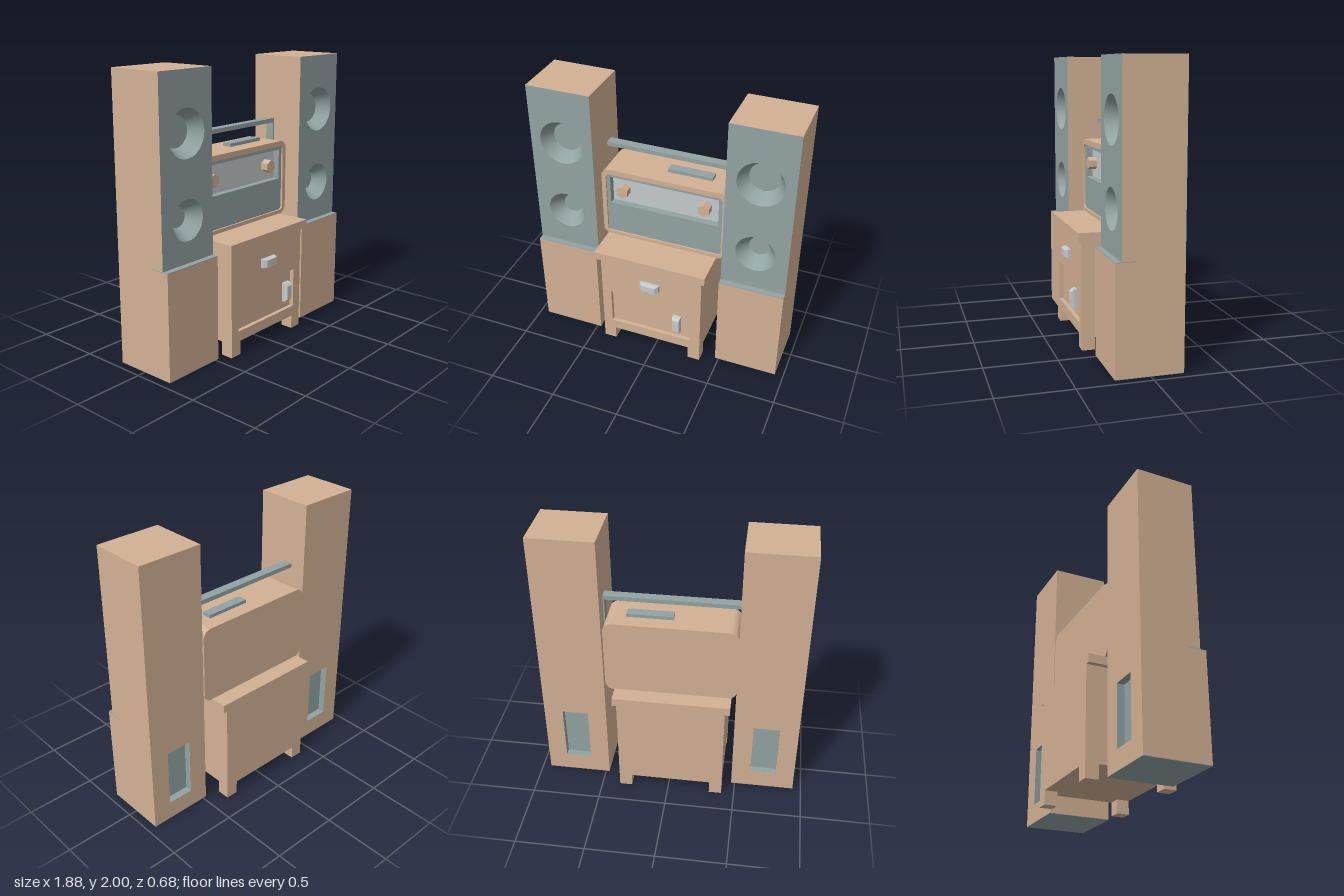
import * as THREE from 'three';
import { toCreasedNormals } from 'three/addons/utils/BufferGeometryUtils.js';

const wood = new THREE.MeshStandardMaterial({ color: 0xd3b194 });
const slate = new THREE.MeshStandardMaterial({ color: 0x92a3a3 });
const light = new THREE.MeshStandardMaterial({ color: 0xc4cbcd });
const slateInside = new THREE.MeshStandardMaterial({ color: 0x92a3a3, side: THREE.BackSide });

function add(parent, name, geometry, material) {
  const mesh = new THREE.Mesh(geometry, material);
  mesh.name = name;
  parent.add(mesh);
  return mesh;
}

// Box given by its limits on each axis
function box(parent, name, material, x0, x1, y0, y1, z0, z1) {
  const mesh = add(parent, name, new THREE.BoxGeometry(x1 - x0, y1 - y0, z1 - z0), material);
  mesh.position.set((x0 + x1) / 2, (y0 + y1) / 2, (z0 + z1) / 2);
  return mesh;
}

// Rectangle outline with optional rounded corners
function rect(x0, x1, y0, y1, r = 0, Type = THREE.Shape) {
  const s = new Type();
  if (!r) {
    s.moveTo(x0, y0).lineTo(x1, y0).lineTo(x1, y1).lineTo(x0, y1).closePath();
    return s;
  }
  s.absarc(x1 - r, y0 + r, r, -Math.PI / 2, 0);
  s.absarc(x1 - r, y1 - r, r, 0, Math.PI / 2);
  s.absarc(x0 + r, y1 - r, r, Math.PI / 2, Math.PI);
  s.absarc(x0 + r, y0 + r, r, Math.PI, Math.PI * 1.5);
  s.closePath();
  return s;
}

// Slab between two depths, cut through by the given holes
function slab(parent, name, material, shape, holes, z0, z1) {
  shape.holes.push(...holes);
  const g = new THREE.ExtrudeGeometry(shape, { depth: z1 - z0, bevelEnabled: false, curveSegments: 16 });
  const mesh = add(parent, name, toCreasedNormals(g, 0.5), material);
  mesh.position.z = z0;
  return mesh;
}

function createSpeaker() {
  const g = new THREE.Group();
  const w = 0.233;
  const cones = [[1.6, 0.162, 0.105], [1.04, 0.14, 0.07]];
  const depth = 0.1, front = 0.195;

  // Front baffle with conical drivers
  const holes = cones.map(([y, r]) => new THREE.Path().absarc(0, y, r, 0, Math.PI * 2, true));
  slab(g, 'baffle', [slate, wood], rect(-w, w, 0.75, 2), holes, front - depth, front);
  for (const [y, r, inner] of cones) {
    const cone = add(g, 'driverCone', new THREE.CylinderGeometry(r, inner, depth, 48, 1, true), slateInside);
    cone.rotation.x = Math.PI / 2;
    cone.position.set(0, y, front - depth / 2);
    const disc = add(g, 'driverDisc', new THREE.CircleGeometry(inner, 48), slate);
    disc.position.set(0, y, front - depth + 0.002);
  }

  // Cabinet, wider foot section and its ledge
  box(g, 'cabinetCore', wood, -w, w, 0.004, 2, -0.17, front - depth);
  box(g, 'lowerFront', wood, -w, w, 0.004, 0.746, front - depth, 0.238);
  box(g, 'ledge', slate, -w, w, 0.746, 0.75, front - depth, 0.238);
  box(g, 'basePlate', slate, -w, w, 0, 0.004, -0.222, 0.238);

  // Back with recessed port
  const port = [-0.095, 0.095, 0.14, 0.57];
  slab(g, 'cabinetBack', wood, rect(-w, w, 0.004, 2), [rect(...port, 0, THREE.Path)], -0.222, -0.17);
  box(g, 'backPort', slateInside, -0.094, 0.094, 0.141, 0.569, -0.222, -0.171);
  return g;
}

// Pull handle whose front edge tapers in
function pullHandle(parent, name, x, y, turned) {
  const geo = new THREE.BoxGeometry(0.145, 0.062, 0.045, 1, 1, 2);
  const p = geo.attributes.position;
  for (let i = 0; i < p.count; i++) {
    if (p.getZ(i) > 0.01) p.setXY(i, p.getX(i) * 0.7, p.getY(i) * 0.82);
  }
  const flat = geo.toNonIndexed();
  flat.computeVertexNormals();
  const mesh = add(parent, name, flat, light);
  mesh.position.set(x, y, 0.322);
  if (turned) mesh.rotation.z = Math.PI / 2;
}

function createCabinet() {
  const g = new THREE.Group();
  g.name = 'cabinet';
  const x0 = -0.405, x1 = 0.367, zb = -0.34, zf = 0.302, leg = 0.092;
  box(g, 'tabletop', wood, -0.44, 0.398, 0.768, 0.83, zb, 0.332);
  box(g, 'body', wood, x0, x1, 0.1, 0.768, zb, zf - 0.03);
  slab(g, 'doorFrame', wood, rect(x0, x1, 0.1, 0.768),
    [rect(-0.335, 0.29, 0.175, 0.465, 0, THREE.Path)], zf - 0.03, zf);
  for (const x of [x0, x1 - leg]) {
    for (const z of [zb, zf - leg]) box(g, 'leg', wood, x, x + leg, 0, 0.1, z, z + leg);
  }
  pullHandle(g, 'drawerHandle', -0.022, 0.61, false);
  pullHandle(g, 'doorHandle', 0.19, 0.322, true);
  return g;
}

function createRadio() {
  const g = new THREE.Group();
  g.name = 'radio';
  const x0 = -0.475, x1 = 0.463, y0 = 0.826, y1 = 1.385;

  // Rounded case with a recessed face
  slab(g, 'case', wood, rect(x0, x1, y0, y1, 0.065), [], -0.222, 0.015);
  slab(g, 'rim', wood, rect(x0, x1, y0, y1, 0.065),
    [rect(-0.44, 0.428, 0.858, 1.346, 0.03, THREE.Path)], 0.015, 0.08);
  slab(g, 'facePlate', slate, rect(-0.44, 0.428, 0.858, 1.346, 0.03),
    [rect(-0.412, 0.398, 1.1, 1.32, 0, THREE.Path)], 0.015, 0.067);
  box(g, 'dialPanel', light, -0.412, 0.398, 1.1, 1.32, 0.01, 0.018);

  // Hexagonal knobs
  for (const x of [-0.32, 0.292]) {
    const geo = new THREE.CylinderGeometry(0.047, 0.047, 0.062, 6).toNonIndexed();
    geo.computeVertexNormals();
    const knob = add(g, 'knob', geo, wood);
    knob.rotation.x = Math.PI / 2;
    knob.position.set(x, 1.21, 0.048);
  }

  // Carrying handle and top button strip
  box(g, 'handleBar', slate, -0.487, 0.475, 1.504, 1.535, -0.106, -0.04);
  box(g, 'handleArm', slate, x0 - 0.012, x0, 1.18, 1.504, -0.106, -0.04);
  box(g, 'handleArm', slate, x1, x1 + 0.012, 1.18, 1.504, -0.106, -0.04);
  box(g, 'buttonStrip', slate, -0.016, 0.312, y1, 1.409, -0.116, -0.045);
  return g;
}

export function createModel() {
  const model = new THREE.Group();
  model.name = 'stereoSet';
  for (const side of [-1, 1]) {
    const speaker = createSpeaker();
    speaker.name = side > 0 ? 'leftSpeaker' : 'rightSpeaker';
    speaker.position.x = side * 0.706;
    model.add(speaker);
  }
  model.add(createCabinet(), createRadio());
  return model;
}
